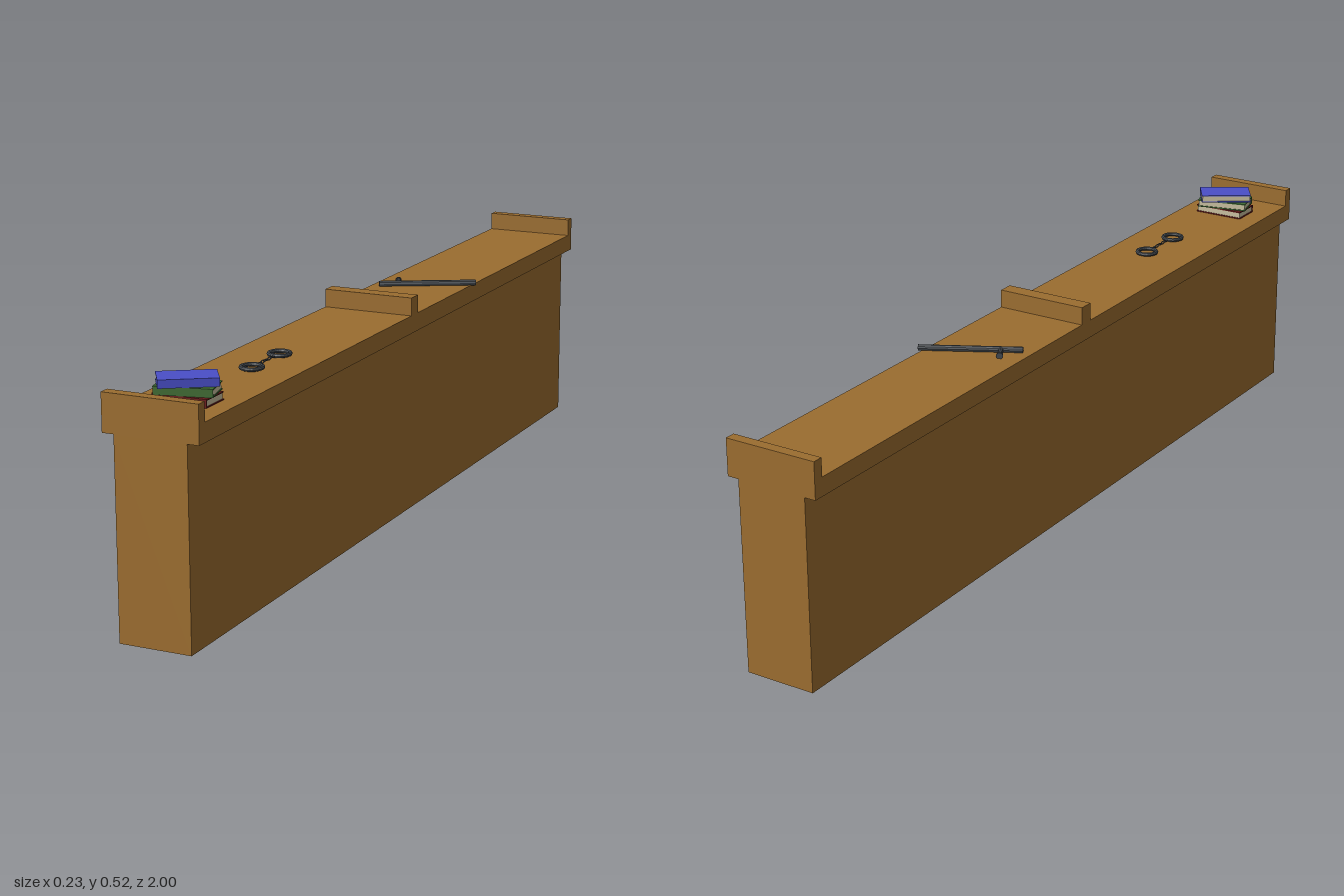
import * as THREE from 'three';

const mat = (color) => new THREE.MeshStandardMaterial({ color, flatShading: true });
const wood = mat(0x9b6d30), metal = mat(0x444a50), pages = mat(0xc8bfa0);

function add(parent, name, geometry, material, x = 0, y = 0, z = 0) {
  const mesh = new THREE.Mesh(geometry, material);
  mesh.name = name;
  mesh.position.set(x, y, z);
  parent.add(mesh);
  return mesh;
}

// Hardback: two covers, a spine on the +z side and an inset page block
function book(name, color, y, angle) {
  const g = new THREE.Group();
  const w = 0.122, d = 0.07, h = 0.0177, t = 0.0025;
  const cover = mat(color);
  g.name = name;
  for (const s of [-1, 1])
    add(g, 'cover', new THREE.BoxGeometry(w, t, d), cover, 0, s * (h - t) / 2, 0);
  add(g, 'spine', new THREE.BoxGeometry(w, h - 2 * t, t), cover, 0, 0, (d - t) / 2);
  add(g, 'pages', new THREE.BoxGeometry(w - 0.004, h - 2 * t, d - t - 0.002), pages, 0, 0, -t / 2 + 0.001);
  g.position.set(-0.004, y + h / 2, 0.856);
  g.rotation.y = THREE.MathUtils.degToRad(angle);
  return g;
}

// Side-handled baton lying on the top, built along x
function baton() {
  const g = new THREE.Group();
  g.name = 'baton';
  const rod = (name, r, len, x, z, alongZ) => {
    const geo = new THREE.CylinderGeometry(r, r, len, 10);
    if (alongZ) geo.rotateX(Math.PI / 2); else geo.rotateZ(Math.PI / 2);
    add(g, name, geo, metal, x, 0, z);
  };
  rod('shaft', 0.0068, 0.228, 0, 0, false);
  rod('sideHandle', 0.0058, 0.034, -0.066, -0.02, true);
  rod('handleKnob', 0.0075, 0.007, -0.066, -0.036, true);
  g.position.set(0.008, 0.476, -0.281);
  g.rotation.y = Math.atan2(0.108, 0.2);
  return g;
}

// Two cuffs joined by a short chain of alternating links
function handcuffs() {
  const g = new THREE.Group();
  g.name = 'handcuffs';
  for (const s of [-1, 1])
    add(g, 'cuff', new THREE.TorusGeometry(0.0225, 0.0048, 8, 24).rotateX(Math.PI / 2), metal, 0, 0, s * 0.0625);
  for (let i = 0; i < 5; i++) {
    const link = new THREE.TorusGeometry(0.0045, 0.0014, 6, 10);
    link.scale(0.7, 1.7, 1).rotateX(Math.PI / 2);
    if (i % 2) link.rotateZ(Math.PI / 2);
    add(g, 'chainLink', link, metal, 0, 0, (i - 2) * 0.0145);
  }
  g.position.set(0, 0.477, 0.532);
  return g;
}

export function createModel() {
  const model = new THREE.Group();
  model.name = 'counter';

  // Solid counter with overhanging top
  const profile = new THREE.Shape([
    [-0.088, 0], [0.074, 0], [0.074, 0.429], [0.1, 0.429],
    [0.1, 0.47], [-0.114, 0.47], [-0.114, 0.429], [-0.088, 0.429],
  ].map(([x, y]) => new THREE.Vector2(x, y)));
  const body = new THREE.ExtrudeGeometry(profile, { depth: 2, bevelEnabled: false });
  add(model, 'counterBody', body, wood, 0, 0, -1);

  // Raised strips across the ends and middle
  for (const [z, depth] of [[-0.988, 0.024], [0, 0.036], [0.988, 0.024]])
    add(model, 'raisedStrip', new THREE.BoxGeometry(0.214, 0.041, depth), wood, -0.007, 0.4905, z);

  model.add(book('redBook', 0x6b1c1c, 0.47, 0));
  model.add(book('greenBook', 0x3f6b33, 0.4877, 13));
  model.add(book('blueBook', 0x4a4fc8, 0.5054, 33));
  model.add(handcuffs(), baton());
  return model;
}
